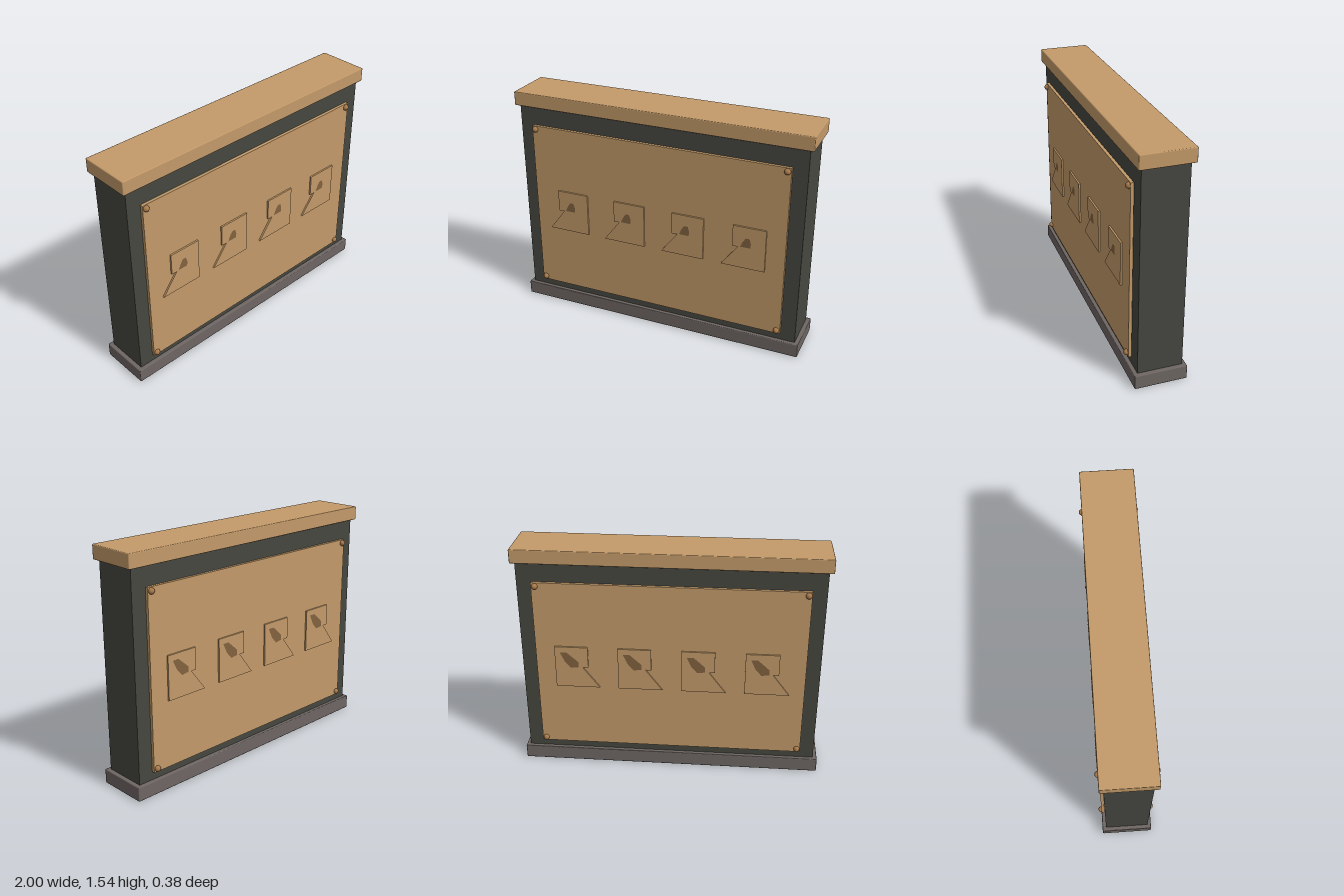
import * as THREE from 'three';
import { RoundedBoxGeometry } from 'three/addons/geometries/RoundedBoxGeometry.js';

const mat = (name, color, side = THREE.FrontSide) => {
  const m = new THREE.MeshStandardMaterial({ color, side });
  m.name = name;
  return m;
};

export function createModel() {
  const group = new THREE.Group();
  const wood = mat('tan wood', 0xc39a69);
  const slate = mat('dark slate', 0x464740);
  const stone = mat('grey stone', 0x6e6663);
  const bronze = mat('bronze', 0xa97a4b);
  const mark = mat('dark brown', 0x82623f, THREE.DoubleSide);

  const add = (name, geometry, material, x = 0, y = 0, z = 0) => {
    const mesh = new THREE.Mesh(geometry, material);
    mesh.name = name;
    mesh.position.set(x, y, z);
    group.add(mesh);
    return mesh;
  };
  const shape = (pts) => new THREE.Shape(pts.map(([x, y]) => new THREE.Vector2(x, y)));

  // Plinth, wall and coping
  add('base', new RoundedBoxGeometry(2, 0.095, 0.34, 1, 0.006), stone, 0, 0.0475, 0);
  add('wall', new THREE.BoxGeometry(1.945, 1.36, 0.29), slate, 0, 0.77, 0);
  add('cap', new RoundedBoxGeometry(2, 0.092, 0.34, 1, 0.006), wood, 0, 1.49, 0);

  // Raised plaque: a square with a slanted foot on its -x side
  const plaque = new THREE.ExtrudeGeometry(
    shape([[-0.29, 0.59], [0, 0.59], [0, 0.88], [-0.218, 0.88], [-0.218, 0.735], [-0.18, 0.735]]),
    { depth: 0.012, bevelEnabled: false });

  // Small dark patches, different on front and back
  const frontPatch = new THREE.ShapeGeometry(
    shape([[-0.165, 0.74], [-0.098, 0.74], [-0.095, 0.77], [-0.105, 0.805], [-0.13, 0.805], [-0.15, 0.775]]));
  const backPatch = new THREE.ShapeGeometry(
    shape([[-0.035, 0.84], [-0.078, 0.842], [-0.155, 0.773], [-0.155, 0.737], [-0.104, 0.73], [-0.065, 0.775]]));

  const rivet = new THREE.SphereGeometry(0.02, 16, 12);

  for (const side of [1, -1]) {
    const face = side > 0 ? 'front' : 'back';
    add(face + 'Panel', new THREE.BoxGeometry(1.755, 1.17, 0.02), wood, -0.002, 0.735, side * 0.158);

    for (const x of [-0.857, 0.851])
      for (const y of [0.173, 1.296]) add(face + 'Rivet', rivet, bronze, x, y, side * 0.17);

    for (let i = 0; i < 4; i++) {
      const x = -0.49 + i * 0.4135;
      add(face + 'Plaque', plaque, wood, x, 0, side > 0 ? 0.167 : -0.179);
      add(face + 'Patch', side > 0 ? frontPatch : backPatch, mark, x, 0, side * 0.1805);
    }
  }
  return group;
}
